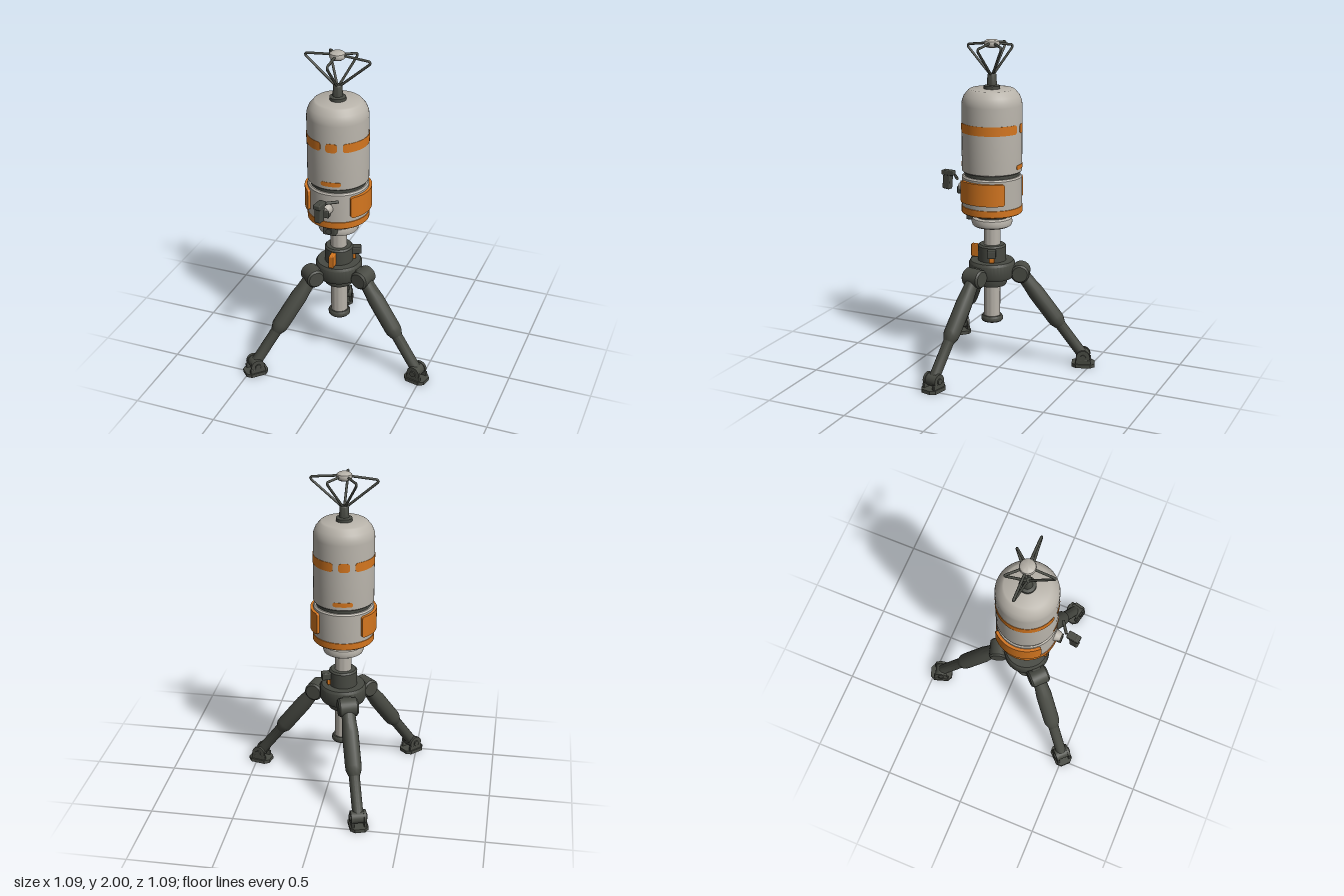
import * as THREE from 'three';
import { toCreasedNormals } from 'three/addons/utils/BufferGeometryUtils.js';
import { RoundedBoxGeometry } from 'three/addons/geometries/RoundedBoxGeometry.js';

const mat = (name, color) => Object.assign(new THREE.MeshStandardMaterial({ color }), { name });
const shell = mat('warm grey shell', 0xb8b3aa);
const dark = mat('dark olive grey', 0x484a43);
const orange = mat('orange', 0xd4761f);

export function createModel() {
  const model = new THREE.Group();
  model.name = 'tripodBeacon';
  const core = new THREE.Group();
  core.name = 'core';
  core.position.set(-0.075, 0, 0.08);
  model.add(core);

  const add = (parent, name, geometry, material, x = 0, y = 0, z = 0) => {
    const m = new THREE.Mesh(geometry, material);
    m.name = name;
    m.position.set(x, y, z);
    parent.add(m);
    return m;
  };
  // Turned part from [radius, height] pairs, bottom to top
  const turned = (pts, seg = 40) => toCreasedNormals(
    new THREE.LatheGeometry(pts.map(p => new THREE.Vector2(...p)), seg), 0.6);
  const cyl = (r, h, seg = 24) => new THREE.CylinderGeometry(r, r, h, seg);
  const box = (w, h, d, r = 0.006) => new RoundedBoxGeometry(w, h, d, 2, r);

  // Rounded plate wrapped round the axis; angles in degrees from the front towards +x
  const wrapped = (from, to, y0, y1, radius, thick, corner) => {
    const a0 = THREE.MathUtils.degToRad(from), a1 = THREE.MathUtils.degToRad(to);
    const w = (a1 - a0) * radius, half = (y1 - y0) / 2;
    const g = new THREE.BoxGeometry(2, 2, thick, 64, 1, 1);
    const p = g.attributes.position;
    for (let i = 0; i < p.count; i++) {
      const u = Math.sin(p.getX(i) * Math.PI / 2);
      const d = Math.min(corner, (1 - Math.abs(u)) * w / 2);
      const h = half - corner + Math.sqrt(Math.max(0, corner ** 2 - (corner - d) ** 2));
      const a = (a0 + a1) / 2 + u * (a1 - a0) / 2, r = radius + p.getZ(i);
      p.setXYZ(i, Math.sin(a) * r, (y0 + y1) / 2 + p.getY(i) * h, Math.cos(a) * r);
    }
    g.computeVertexNormals();
    return g;
  };

  // Centre column
  add(core, 'columnTube', turned([[0, 0.3], [0.05, 0.3], [0.05, 0.9], [0, 0.9]]), shell);
  add(core, 'columnEndCap', turned([[0, 0.275], [0.06, 0.275], [0.066, 0.282], [0.066, 0.3],
    [0.058, 0.312], [0, 0.312]]), dark);

  // Tripod hub
  add(core, 'hub', turned([[0.05, 0.51], [0.085, 0.51], [0.09, 0.52], [0.09, 0.555], [0.13, 0.56], [0.14, 0.58],
    [0.14, 0.65], [0.13, 0.665], [0.085, 0.665], [0.085, 0.755], [0.075, 0.765], [0.05, 0.765]]), dark);
  add(core, 'hubLever', box(0.03, 0.08, 0.055), orange, 0, 0.71, 0.108);
  const latch = new THREE.Group();
  latch.name = 'hubLatch';
  latch.rotation.y = THREE.MathUtils.degToRad(113);
  core.add(latch);
  add(latch, 'latchBlock', box(0.05, 0.045, 0.07), dark, 0, 0.728, 0.1);
  add(latch, 'latchTab', box(0.032, 0.045, 0.02), orange, 0, 0.69, 0.092);

  // Legs, built along +x and turned round the column
  const hip = new THREE.Vector2(0.175, 0.59), ankle = new THREE.Vector2(0.565, 0.065);
  const run = hip.clone().sub(ankle), len = run.length();
  const footShape = new THREE.Shape([[-0.07, -0.03], [-0.045, -0.055], [0.045, -0.055], [0.07, -0.03],
    [0.07, 0.03], [0.045, 0.055], [-0.045, 0.055], [-0.07, 0.03]].map(p => new THREE.Vector2(...p)));
  for (const angle of [13, 134, 252]) {
    const leg = new THREE.Group();
    leg.name = 'leg';
    leg.rotation.y = -THREE.MathUtils.degToRad(angle);
    core.add(leg);
    add(leg, 'hipBracket', box(0.1, 0.07, 0.06, 0.01), dark, 0.13, 0.605, 0);
    add(leg, 'hipJoint', turned([[0, -0.06], [0.046, -0.06], [0.056, -0.05], [0.056, 0.05],
      [0.046, 0.06], [0, 0.06]], 24), dark, hip.x, hip.y).rotation.x = Math.PI / 2;
    const strut = add(leg, 'legStrut', turned([[0, 0], [0.033, 0], [0.033, 0.24], [0.036, 0.245], [0.048, 0.275],
      [0.05, 0.3], [0.05, 0.5], [0.044, 0.56], [0.04, len], [0, len]], 14), dark, ankle.x, ankle.y);
    strut.rotation.z = -Math.atan2(run.x, run.y);
    // Foot with a pivot between two lugs
    const plate = add(leg, 'footPlate', new THREE.ExtrudeGeometry(footShape,
      { depth: 0.022, bevelEnabled: false }), dark, ankle.x, 0.022);
    plate.rotation.x = Math.PI / 2;
    add(leg, 'anklePivot', cyl(0.037, 0.06), dark, ankle.x, ankle.y).rotation.x = Math.PI / 2;
    add(leg, 'anklePin', cyl(0.018, 0.108, 12), dark, ankle.x, ankle.y).rotation.x = Math.PI / 2;
    for (const s of [-1, 1]) {
      add(leg, 'ankleLug', cyl(0.042, 0.016), dark, ankle.x, ankle.y, s * 0.038).rotation.x = Math.PI / 2;
      add(leg, 'lugBase', box(0.095, 0.03, 0.018, 0.004), dark, ankle.x, 0.034, s * 0.038);
    }
  }

  // Body collar
  add(core, 'supportRing', turned([[0.05, 0.88], [0.105, 0.88], [0.118, 0.888], [0.124, 0.908], [0.118, 0.93],
    [0.105, 0.938], [0, 0.938]]), shell);
  add(core, 'bodyNeck', turned([[0, 0.935], [0.1, 0.935], [0.1, 0.97], [0, 0.97]]), dark);
  add(core, 'bodyBase', turned([[0, 0.968], [0.178, 0.968], [0.183, 0.973], [0.183, 1.012], [0.178, 1.014]]), orange);
  add(core, 'lowerBody', turned([[0.178, 1.01], [0.18, 1.012], [0.18, 1.188], [0.172, 1.197], [0, 1.197]]), shell);
  add(core, 'bodyGap', turned([[0.164, 1.19], [0.164, 1.23]]), dark);

  // Upper capsule
  add(core, 'capsule', turned([[0, 1.22], [0.174, 1.22], [0.18, 1.226], [0.18, 1.62], [0.177, 1.645],
    [0.165, 1.675], [0.14, 1.705], [0.13, 1.711], [0, 1.713]], 48), shell);

  // Painted dashes and side panels, repeated on both halves
  for (const turn of [0, 180]) {
    add(core, 'longDash', wrapped(turn + 30, turn + 168, 1.46, 1.515, 0.18, 0.004, 0.018), orange);
    add(core, 'shortDash', wrapped(turn - 2, turn + 20, 1.46, 1.515, 0.18, 0.004, 0.02), orange);
    add(core, 'lowDash', wrapped(turn - 12, turn + 26, 1.245, 1.272, 0.18, 0.004, 0.012), orange);
    add(core, 'sidePanel', wrapped(turn + 43, turn + 137, 1.043, 1.175, 0.186, 0.022, 0.014), orange);
  }

  // Front controls
  add(core, 'frontBoss', turned([[0.036, 0], [0.03, 0.03], [0.022, 0.042], [0, 0.042]], 20), shell,
    0, 1.1, 0.174).rotation.x = Math.PI / 2;
  add(core, 'frontKnob', box(0.05, 0.045, 0.035), dark, 0, 1.082, 0.205);
  add(core, 'frontGrip', box(0.04, 0.115, 0.05), dark, 0, 1.135, 0.295).rotation.set(-0.08, -0.15, 0);
  add(core, 'gripHead', box(0.045, 0.03, 0.078), dark, 0, 1.178, 0.29).rotation.y = -0.15;
  const rod = add(core, 'gripRod', cyl(0.009, 0.085, 10), dark, 0.042, 1.166, 0.218);
  rod.quaternion.setFromUnitVectors(new THREE.Vector3(0, 1, 0), new THREE.Vector3(0.83, 0, -0.56).normalize());
  add(core, 'lowerPort', box(0.078, 0.058, 0.06), dark, 0, 0.937, 0.125);
  add(core, 'lowerPortButton', cyl(0.018, 0.012, 16), dark, 0, 0.935, 0.157).rotation.x = Math.PI / 2;

  // Antenna mast, wire arms and cap
  add(core, 'antennaMast', turned([[0, 1.71], [0.048, 1.71], [0.048, 1.73], [0.03, 1.735],
    [0.026, 1.795], [0.02, 1.803], [0, 1.803]], 24), dark);
  for (const [x, z] of [[0.195, 0], [-0.195, 0], [0, 0.155], [0.083, -0.095], [-0.083, -0.095]]) {
    const at = (f, y) => new THREE.Vector3(x * f, y, z * f);
    const path = new THREE.CurvePath();
    path.add(new THREE.LineCurve3(at(0.04, 1.79), at(0.93, 1.94)));
    path.add(new THREE.QuadraticBezierCurve3(at(0.93, 1.94), at(1.06, 1.963), at(0.93, 1.966)));
    path.add(new THREE.LineCurve3(at(0.93, 1.966), at(0.1, 1.98)));
    add(core, 'antennaArm', new THREE.TubeGeometry(path, 48, 0.0075, 8), dark);
  }
  add(core, 'antennaCap', turned([[0, 1.952], [0.032, 1.954], [0.043, 1.962], [0.047, 1.976],
    [0.043, 1.99], [0.032, 1.998], [0, 2]], 24), shell);
  return model;
}
